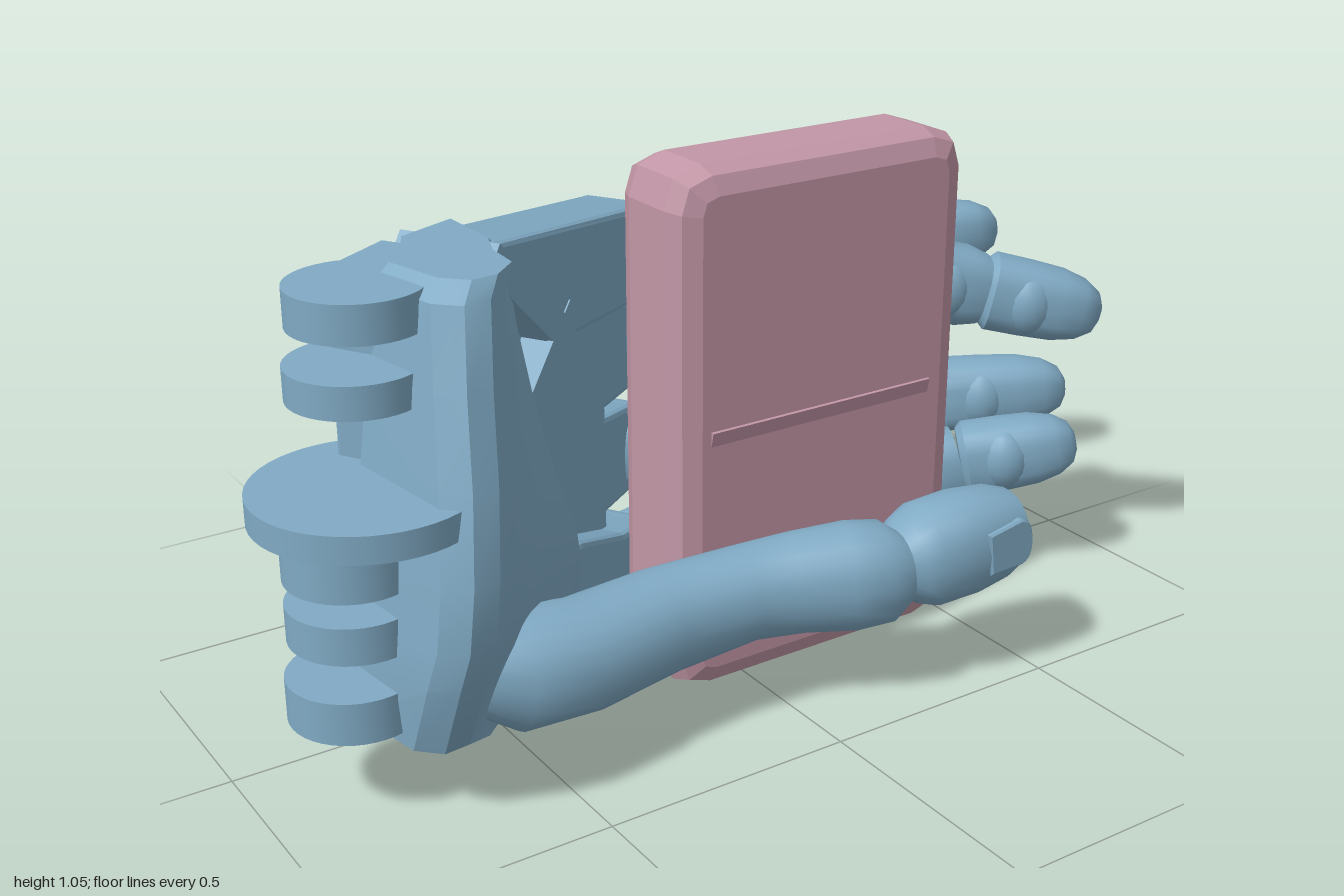
import * as THREE from 'three';
import { toCreasedNormals } from 'three/addons/utils/BufferGeometryUtils.js';

const blue = new THREE.MeshStandardMaterial({ color: 0x80aac4 });
const pink = new THREE.MeshStandardMaterial({ color: 0xc296a6 });
const V = (x, y, z) => new THREE.Vector3(x, y, z);

function part(parent, name, geometry, material = blue) {
  const mesh = new THREE.Mesh(geometry, material);
  mesh.name = name;
  parent.add(mesh);
  return mesh;
}

// Skin a list of equal-length rings and cap both ends
function loft(rings, crease = 0.7) {
  const n = rings[0].length, pos = [], idx = [];
  rings.forEach(r => r.forEach(p => pos.push(p.x, p.y, p.z)));
  for (let i = 0; i < rings.length - 1; i++)
    for (let j = 0; j < n; j++) {
      const a = i * n + j, b = i * n + (j + 1) % n;
      idx.push(a, b, b + n, a, b + n, a + n);
    }
  const last = (rings.length - 1) * n;
  for (let j = 1; j < n - 1; j++) idx.push(0, j + 1, j, last, last + j, last + j + 1);
  const g = new THREE.BufferGeometry();
  g.setAttribute('position', new THREE.Float32BufferAttribute(pos, 3));
  g.setIndex(idx);
  return toCreasedNormals(g, crease);
}

// Squarish tube through stations [x, y, z, half width, half depth]
function limb(stations, power = 0.7, sides = 20) {
  const pts = stations.map(s => V(s[0], s[1], s[2]));
  const bend = c => Math.sign(c) * Math.abs(c) ** power;
  return loft(stations.map((s, i) => {
    const t = pts[Math.min(i + 1, pts.length - 1)].clone().sub(pts[Math.max(i - 1, 0)]).normalize();
    const w = V(0, 1, 0).addScaledVector(t, -t.y).normalize();
    const d = t.clone().cross(w);
    return Array.from({ length: sides }, (_, k) => {
      const a = k / sides * Math.PI * 2;
      return pts[i].clone().addScaledVector(w, bend(Math.cos(a)) * s[3]).addScaledVector(d, bend(Math.sin(a)) * s[4]);
    });
  }));
}

// Rounded nail plate on one side of a fingertip, tipped down towards the end
function nail(parent, a, b, dorsal, offset, along, tilt) {
  const t = b.clone().sub(a).normalize();
  const w = V(0, 1, 0).addScaledVector(t, -t.y).normalize();
  const n = t.clone().cross(w).multiplyScalar(dorsal);
  const s = new THREE.Shape();
  s.moveTo(-0.045, -0.04).lineTo(0.03, -0.045).quadraticCurveTo(0.055, -0.04, 0.055, 0)
    .quadraticCurveTo(0.055, 0.04, 0.03, 0.045).lineTo(-0.045, 0.04).closePath();
  const g = new THREE.ExtrudeGeometry(s, { depth: 0.01, bevelSize: 0.004, bevelThickness: 0.004, bevelSegments: 1 });
  const m = part(parent, 'nail', g);
  m.quaternion.setFromRotationMatrix(new THREE.Matrix4().makeBasis(t, n.clone().cross(t), n));
  m.position.copy(a).lerp(b, along).addScaledVector(n, offset);
  m.rotateY(tilt);
}

// Three tapering segments with ridged joints
function finger(parent, name, joints) {
  const group = new THREE.Group();
  group.name = name;
  parent.add(group);
  const p = joints.map(j => V(...j));
  const size = [[0.088, 0.078], [0.087, 0.076], [0.079, 0.07]];
  const profiles = [
    [[-0.1, 0.6], [-0.04, 0.9], [0.1, 1], [0.5, 0.95], [0.9, 1], [1.04, 0.88]],
    [[-0.03, 0.85], [0.06, 1], [0.2, 0.97], [0.5, 0.9], [0.85, 0.97], [0.98, 0.84]],
    [[0, 0.86], [0.06, 1.02], [0.4, 1], [0.7, 0.95], [0.92, 0.8], [1.06, 0.55], [1.11, 0.25]],
  ];
  ['proximal', 'middle', 'distal'].forEach((label, i) => {
    part(group, label + 'Segment', limb(profiles[i].map(([f, k]) =>
      [...p[i].clone().lerp(p[i + 1], f).toArray(), size[i][0] * k, size[i][1] * k])));
  });
  // Soft pads under the two bending joints
  for (const i of [1, 2]) for (const f of [-0.09, 0.09]) {
    const dir = p[i + 1].clone().sub(p[i - 1]).normalize();
    const pad = part(group, 'jointPad', new THREE.SphereGeometry(1, 16, 10));
    pad.scale.set(0.055, 0.068, 0.045);
    pad.rotation.y = -Math.atan2(dir.z, dir.x);
    pad.position.copy(p[i]).addScaledVector(dir, f).add(V(-dir.z * 0.045, 0, dir.x * 0.045));
  }
  nail(group, p[2], p[3], -1, 0.05, 0.78, 0.2);
}

export function createModel() {
  const model = new THREE.Group();
  model.name = 'handHoldingBlock';
  const hand = new THREE.Group();
  hand.name = 'hand';
  model.add(hand);

  // Slanted back plate with rounded lobes for the two middle knuckles
  const palm = new THREE.Group();
  palm.name = 'palm';
  palm.position.set(-0.78, 0, 0.08);
  palm.rotation.y = 0.55;
  hand.add(palm);
  const bevel = { bevelSize: 0.012, bevelThickness: 0.012, bevelSegments: 2, curveSegments: 12 };
  const slab = (name, shape, z, depth) =>
    { part(palm, name, new THREE.ExtrudeGeometry(shape, { depth, ...bevel })).position.z = z; };
  const lobe = (shape, u, y, r) => shape.absarc(u, y, r, -Math.PI / 2, Math.PI / 2);

  const plate = new THREE.Shape();
  plate.moveTo(0, 0.19).lineTo(0.5, 0.12).lineTo(0.7, 0.2).lineTo(0.7, 0.25);
  lobe(plate, 0.82, 0.34, 0.085);
  plate.lineTo(0.7, 0.44).lineTo(0.7, 0.48);
  lobe(plate, 0.82, 0.57, 0.085);
  plate.lineTo(0.7, 0.68).lineTo(0.42, 0.74).lineTo(0.3, 0.92).lineTo(0.08, 0.94).lineTo(0, 0.88).closePath();
  slab('backPlate', plate, 0.012, 0.12);

  // Outer bars, set forward so the palm cups
  const lower = new THREE.Shape();
  lower.moveTo(0.02, 0.18).lineTo(0.76, 0.035);
  lobe(lower, 0.775, 0.11, 0.078);
  lower.lineTo(0.68, 0.2).lineTo(0.5, 0.26).lineTo(0.02, 0.3).closePath();
  slab('lowerBar', lower, 0.065, 0.12);
  const upper = new THREE.Shape();
  upper.moveTo(0.4, 0.73).lineTo(0.76, 0.71);
  lobe(upper, 0.775, 0.795, 0.08);
  upper.lineTo(0.22, 0.955).lineTo(0.24, 0.88).closePath();
  slab('upperBar', upper, 0.065, 0.13);

  // Bent hinge that joins the upper bar to the plate
  const hook = part(palm, 'hingeHook', new THREE.BoxGeometry(0.24, 0.06, 0.21));
  hook.position.set(0.38, 0.69, 0.105);
  hook.rotation.z = 0.72;
  const strap = part(palm, 'hingeStrap', new THREE.BoxGeometry(0.3, 0.06, 0.2));
  strap.position.set(0.3, 0.845, 0.11);
  strap.rotation.z = -0.72;

  // Heel of the palm: [y, wrist x, front z, inner x]
  const heel = [
    [0.1, -0.73, 0.27, -0.42], [0.15, -0.81, 0.35, -0.36], [0.3, -0.81, 0.42, -0.33], [0.38, -0.8, 0.445, -0.34],
    [0.5, -0.79, 0.45, -0.38], [0.65, -0.77, 0.42, -0.42], [0.8, -0.75, 0.375, -0.45],
    [0.94, -0.73, 0.34, -0.47], [0.97, -0.7, 0.31, -0.5],
  ];
  part(hand, 'palmHeel', loft(heel.map(([y, x0, z1, x1]) => [
    [x0 + 0.07, z1], [x0 + 0.12, z1 - 0.005], [x0 + 0.17, z1 - 0.05],
    [(x0 + 0.17 + x1) / 2 - 0.01, (z1 + 0.06) / 2], [x1, 0.12], [x1, -0.02], [-0.62, 0.03],
    [x0 + 0.05, 0.09], [x0, 0.15], [x0 + 0.03, z1 - 0.04],
  ].map(([x, z]) => V(x, y, z))), 0.6));

  // Wrist lugs, each with a root in the plate, and the large hinge disc
  for (const [y, h, x] of [[0.92, 0.07, -0.77], [0.79, 0.06, -0.78], [0.5, 0.12, -0.81], [0.36, 0.07, -0.81], [0.215, 0.08, -0.82]]) {
    part(hand, 'wristLug', new THREE.CylinderGeometry(0.12, 0.12, h, 40)).position.set(x, y, 0.17);
    const root = part(hand, 'lugRoot', new THREE.BoxGeometry(0.2, h, 0.2));
    root.position.set(x + 0.1, y, 0.125);
    root.rotation.y = 0.55;
  }
  part(hand, 'hingeDisc', new THREE.CylinderGeometry(0.2, 0.2, 0.05, 48)).position.set(-0.8, 0.6, 0.23);

  // Four fingers, from the lowest up
  finger(hand, 'indexFinger', [[0, 0.11, -0.22], [0.4, 0.17, -0.11], [0.67, 0.25, 0.045], [0.85, 0.295, 0.175]]);
  finger(hand, 'middleFinger', [[0, 0.33, -0.27], [0.43, 0.32, -0.255], [0.73, 0.34, -0.11], [0.94, 0.36, 0.035]]);
  finger(hand, 'ringFinger', [[0, 0.57, -0.28], [0.43, 0.59, -0.425], [0.71, 0.635, -0.335], [0.945, 0.665, -0.225]]);
  finger(hand, 'littleFinger', [[0, 0.8, -0.21], [0.4, 0.72, -0.1], [0.7, 0.64, 0.055], [0.88, 0.595, 0.185]]);

  // Thumb with a gap at its outer joint
  const thumb = new THREE.Group();
  thumb.name = 'thumb';
  hand.add(thumb);
  part(thumb, 'thumbBase', limb([
    [-0.66, 0.24, 0.23, 0.07, 0.07], [-0.55, 0.215, 0.26, 0.11, 0.11], [-0.42, 0.21, 0.27, 0.102, 0.108],
    [-0.25, 0.225, 0.265, 0.098, 0.095], [-0.07, 0.235, 0.275, 0.09, 0.09], [0.03, 0.245, 0.31, 0.098, 0.09],
    [0.12, 0.255, 0.36, 0.107, 0.094], [0.18, 0.262, 0.39, 0.1, 0.088], [0.212, 0.265, 0.395, 0.075, 0.068]], 0.9));
  part(thumb, 'thumbTip', limb([
    [0.19, 0.265, 0.385, 0.05, 0.05], [0.235, 0.268, 0.388, 0.085, 0.084], [0.27, 0.273, 0.393, 0.102, 0.094],
    [0.36, 0.282, 0.403, 0.105, 0.092], [0.43, 0.29, 0.413, 0.094, 0.084], [0.475, 0.295, 0.42, 0.074, 0.07],
    [0.49, 0.297, 0.424, 0.04, 0.04]], 0.85));
  nail(thumb, V(0.27, 0.275, 0.395), V(0.47, 0.298, 0.42), 1, 0.07, 0.72, 0.12);

  // Held block with rounded corners and chamfered edges
  const [w, h, r, b] = [0.285, 0.475, 0.035, 0.05];
  const outline = new THREE.Shape();
  outline.moveTo(w, r - h).lineTo(w, h - r).quadraticCurveTo(w, h, w - r, h)
    .lineTo(r - w, h).quadraticCurveTo(-w, h, -w, h - r)
    .lineTo(-w, r - h).quadraticCurveTo(-w, -h, r - w, -h)
    .lineTo(w - r, -h).quadraticCurveTo(w, -h, w, r - h);
  const block = part(model, 'block', new THREE.ExtrudeGeometry(outline,
    { depth: 0.118, bevelSize: b, bevelThickness: 0.052, bevelSegments: 2, curveSegments: 2 }), pink);
  block.position.set(0.165, 0.525, 0.043);
  const ridge = part(model, 'blockRidge', new THREE.BoxGeometry(0.52, 0.03, 0.012), pink);
  ridge.position.set(0.16, 0.535, 0.21);
  ridge.rotation.x = 0.2;

  return model;
}
